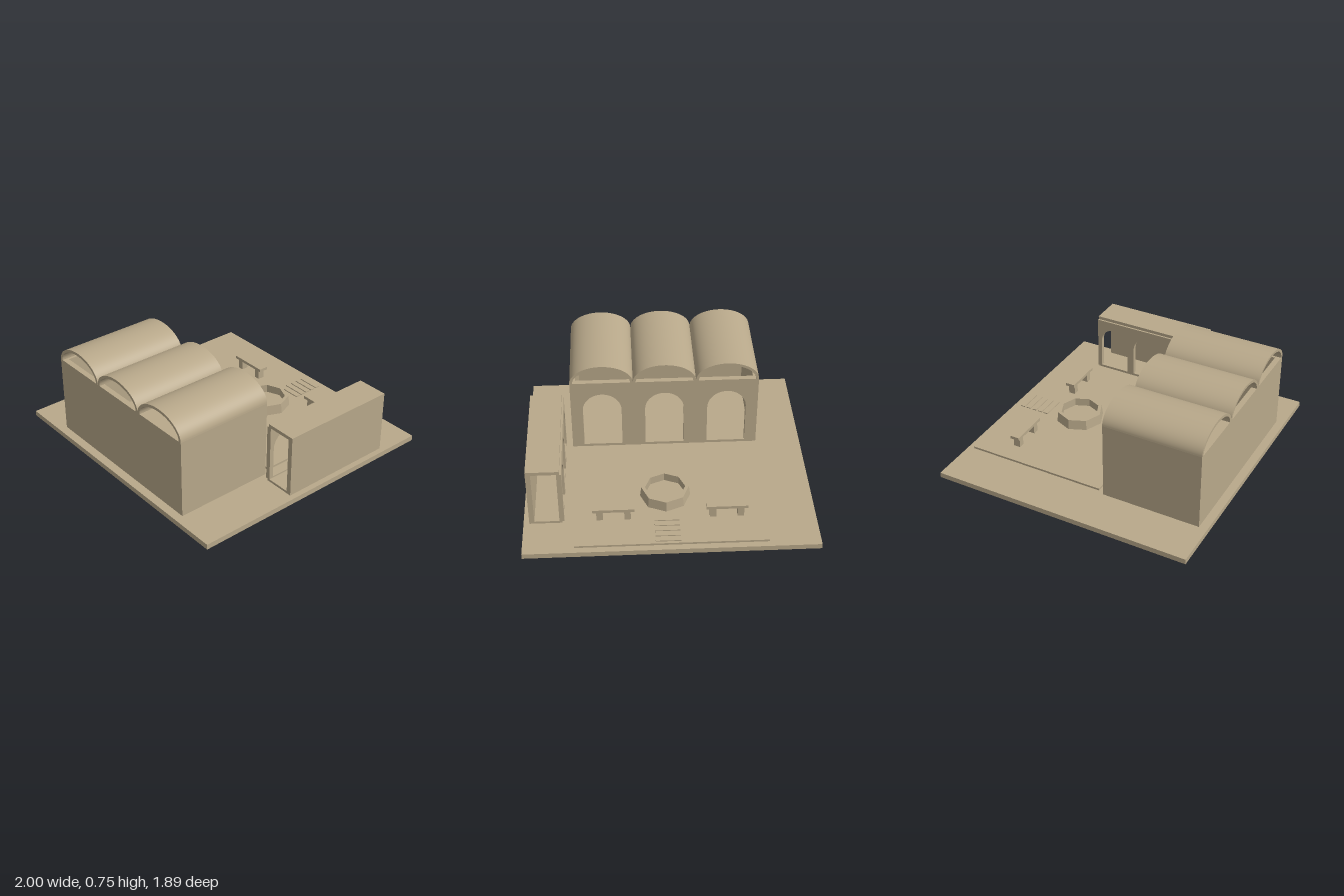
import * as THREE from 'three';
import { toCreasedNormals } from 'three/addons/utils/BufferGeometryUtils.js';

const stone = new THREE.MeshStandardMaterial({ color: 0xb8a88a });
stone.name = 'sandstone';

function add(parent, name, geometry) {
  const mesh = new THREE.Mesh(geometry, stone);
  mesh.name = name;
  parent.add(mesh);
  return mesh;
}

// Box given by its limits on each axis
function block(parent, name, x0, x1, y0, y1, z0, z1) {
  const mesh = add(parent, name, new THREE.BoxGeometry(x1 - x0, y1 - y0, z1 - z0));
  mesh.position.set((x0 + x1) / 2, (y0 + y1) / 2, (z0 + z1) / 2);
  return mesh;
}

function extrude(shape, depth) {
  const geometry = new THREE.ExtrudeGeometry(shape, { depth, bevelEnabled: false, curveSegments: 24 });
  return toCreasedNormals(geometry, 0.5);
}

// Wall pierced by a row of round-headed openings
function archedWall(u0, u1, y0, y1, thickness, centres, radius, sill, spring) {
  const shape = new THREE.Shape();
  shape.moveTo(u0, y0).lineTo(u1, y0).lineTo(u1, y1).lineTo(u0, y1).closePath();
  for (const c of centres) {
    const hole = new THREE.Path();
    hole.moveTo(c - radius, sill).lineTo(c + radius, sill).lineTo(c + radius, spring);
    hole.absarc(c, spring, radius, 0, Math.PI, false);
    hole.closePath();
    shape.holes.push(hole);
  }
  return extrude(shape, thickness);
}

function makeHall() {
  const hall = new THREE.Group();
  hall.name = 'hall';
  const t = 0.04, y0 = 0.037, y1 = 0.605;
  block(hall, 'frontWall', -0.675, 0.675, y0, y1, 0.885 - t, 0.885);
  for (const s of [-1, 1]) {
    const x = s * (0.675 - t / 2);
    block(hall, 'sideWall', x - t / 2, x + t / 2, y0, y1, 0.17 + t, 0.885 - t);
  }
  block(hall, 'hallFloor', -0.635, 0.635, y0, 0.055, 0.21, 0.845);
  const bays = [-0.45, 0, 0.45];
  add(hall, 'archedBackWall', archedWall(-0.675, 0.675, y0, y1, t, bays, 0.14, 0.058, 0.365)).position.z = 0.17;

  // Open-ended barrel vaults
  const arch = new THREE.Shape();
  arch.moveTo(0.225, 0);
  arch.absellipse(0, 0, 0.225, 0.14, 0, Math.PI, false);
  arch.lineTo(-0.205, 0);
  arch.absellipse(0, 0, 0.205, 0.12, Math.PI, 0, true);
  arch.closePath();
  const vault = extrude(arch, 0.715);
  for (const x of bays) add(hall, 'barrelVault', vault).position.set(x, y1, 0.17);
  return hall;
}

function makeLoggia() {
  const loggia = new THREE.Group();
  loggia.name = 'loggia';
  const z0 = -0.65, z1 = 0.205;
  block(loggia, 'loggiaFloor', 0.735, 0.96, 0.037, 0.055, z0, z1);
  block(loggia, 'outerWall', 0.925, 0.96, 0.055, 0.465, z0, z1);
  block(loggia, 'loggiaRoof', 0.735, 0.96, 0.465, 0.49, z0, z1);
  // Turned so the wall's length runs along z
  const arcade = add(loggia, 'arcade',
    archedWall(-z1, -z0, 0.053, 0.466, 0.033, [-0.06, 0.2225, 0.505], 0.113, 0.065, 0.287));
  arcade.rotation.y = Math.PI / 2;
  arcade.position.x = 0.722;
  return loggia;
}

function makeBench(x) {
  const bench = new THREE.Group();
  bench.name = 'bench';
  block(bench, 'seat', x - 0.1425, x + 0.1425, 0.128, 0.15, -0.665, -0.595);
  for (const s of [-1, 1]) {
    const c = x + s * 0.095;
    block(bench, 'benchLeg', c - 0.022, c + 0.022, 0.05, 0.128, -0.655, -0.605);
  }
  return bench;
}

// Eight-sided basin with a slightly tapered outside
function makeFountain() {
  const profile = [[0.175, 0], [0.166, 0.075], [0.14, 0.075], [0.14, 0.015], [0, 0.015]]
    .map(([r, y]) => new THREE.Vector2(r, y));
  const basin = new THREE.LatheGeometry(profile, 8);
  return toCreasedNormals(basin, 0.1);
}

export function createModel() {
  const model = new THREE.Group();
  model.name = 'courtyardBuilding';
  block(model, 'base', -1, 1, 0, 0.038, -0.945, 0.945);
  block(model, 'courtyardPaving', -0.652, 0.652, 0.037, 0.053, -0.9, 0.125);
  model.add(makeHall(), makeLoggia(), makeBench(-0.387), makeBench(0.387));
  add(model, 'fountain', makeFountain()).position.set(0.025, 0.052, -0.415);

  // Path of narrow stones leading to the fountain
  for (let i = 0; i < 5; i++) {
    const z = -0.865 + i * 0.05;
    block(model, 'pathStone', -0.06, 0.11, 0.052, 0.06, z - 0.017, z + 0.017);
  }
  return model;
}
